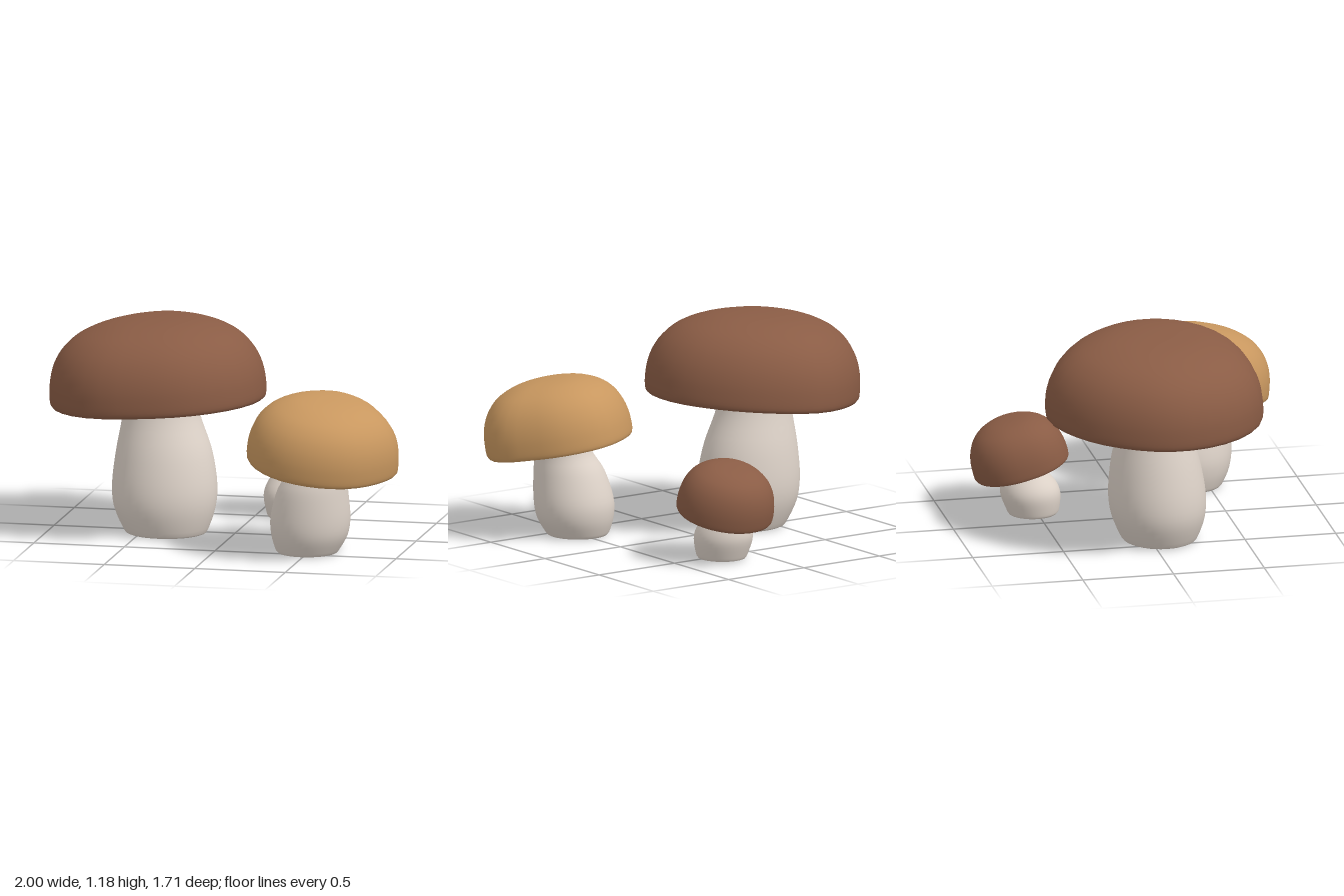
import * as THREE from 'three';

const SEG = 36;

// Skin a stack of closed rings, listed so that faces point outward
function loft(rings) {
  const pos = [], idx = [];
  rings.forEach(ring => ring.forEach(p => pos.push(p.x, p.y, p.z)));
  for (let i = 0; i < rings.length - 1; i++) {
    for (let j = 0; j < SEG; j++) {
      const k = (j + 1) % SEG;
      const a = i * SEG + j, b = i * SEG + k, c = a + SEG, d = b + SEG;
      idx.push(a, c, b, b, c, d);
    }
  }
  const g = new THREE.BufferGeometry();
  g.setAttribute('position', new THREE.Float32BufferAttribute(pos, 3));
  g.setIndex(idx);
  g.computeVertexNormals();
  return g;
}

function makeRing(radiusAt, y, cx = 0, cz = 0) {
  return Array.from({ length: SEG }, (_, j) => {
    const a = j / SEG * Math.PI * 2, r = radiusAt(j / SEG);
    return new THREE.Vector3(cx + Math.cos(a) * r, y, cz + Math.sin(a) * r);
  });
}

const spline = (pts, n) => new THREE.SplineCurve(pts.map(p => new THREE.Vector2(...p))).getPoints(n);

// Profiles as [share of the rim radius, share of the cap height]
const DOME = spline([[0.98, -0.01], [1, 0.03], [1.004, 0.14], [0.992, 0.31], [0.95, 0.49], [0.87, 0.66],
  [0.75, 0.8], [0.6, 0.896], [0.42, 0.963], [0.2, 0.995], [0, 1]], 30);
const GILLS = spline([[0, 0.16], [0.3, 0.15], [0.6, 0.1], [0.85, 0.05], [0.98, -0.01]], 12);

// Uneven rim: radii at every 30 degrees, from +x towards +z
function rimOutline(radii) {
  const curve = new THREE.CatmullRomCurve3(radii.map(r => new THREE.Vector3(r, 0, 0)), true, 'catmullrom', 0.5);
  return t => curve.getPoint(t).x;
}

function capPart(profile, rim, height, material, name) {
  const rings = profile.map(p => makeRing(t => p.x * rim(t), p.y * height));
  const mesh = new THREE.Mesh(loft(rings), material);
  mesh.name = name;
  return mesh;
}

// Stem sections: [y, centre x, centre z, radius], bottom to top
function makeStem(sections, depth, material) {
  const path = new THREE.CatmullRomCurve3(sections.map(s => new THREE.Vector3(s[1], s[0], s[2])), false, 'catmullrom', 0.5);
  const girth = new THREE.CatmullRomCurve3(sections.map(s => new THREE.Vector3(s[3], 0, 0)), false, 'catmullrom', 0.5);
  const section = (t, scale = 1) => {
    const c = path.getPoint(t), r = girth.getPoint(t).x * scale;
    const ring = makeRing(() => r, c.y, c.x, c.z);
    ring.forEach(p => { p.z = c.z + (p.z - c.z) * depth; });
    return ring;
  };
  const group = new THREE.Group();
  group.name = 'stem';
  const side = new THREE.Mesh(loft(Array.from({ length: 25 }, (_, i) => section(i / 24))), material);
  side.name = 'stemSide';
  const foot = new THREE.Mesh(loft([section(0, 0), section(0)]), material);
  foot.name = 'stemFoot';
  group.add(side, foot);
  return group;
}

export function createModel() {
  const material = (name, color) => {
    const m = new THREE.MeshStandardMaterial({ color });
    m.name = name;
    return m;
  };
  const brown = material('brown cap', 0x8a5c45);
  const tan = material('tan cap', 0xc8975f);
  const cream = material('cream flesh', 0xdfd4ca);

  const mushrooms = [
    {
      name: 'largeMushroom', color: brown, height: 0.45, centre: [-0.412, 0.725, 0.005], up: [-0.06, 1, 0],
      rim: [0.585, 0.607, 0.602, 0.586, 0.612, 0.603, 0.583, 0.553, 0.556, 0.58, 0.553, 0.553], depth: 0.92,
      stem: [[0, -0.37, 0.055, 0.205], [0.02, -0.37, 0.055, 0.228], [0.14, -0.378, 0.048, 0.275], [0.27, -0.38, 0.04, 0.285],
        [0.45, -0.385, 0.03, 0.26], [0.62, -0.4, 0.022, 0.215], [0.72, -0.405, 0.02, 0.2], [0.82, -0.41, 0.02, 0.205]],
    },
    {
      name: 'mediumMushroom', color: tan, height: 0.362, centre: [0.583, 0.5, 0.438], up: [0.12, 1, 0.134],
      rim: [0.412, 0.402, 0.41, 0.413, 0.418, 0.415, 0.412, 0.398, 0.394, 0.408, 0.392, 0.378], depth: 1.02,
      stem: [[0, 0.49, 0.41, 0.16], [0.02, 0.492, 0.41, 0.175], [0.1, 0.503, 0.413, 0.207], [0.2, 0.51, 0.418, 0.215],
        [0.35, 0.527, 0.437, 0.19], [0.46, 0.557, 0.447, 0.153], [0.58, 0.58, 0.455, 0.15]],
    },
    {
      name: 'smallMushroom', color: brown, height: 0.275, centre: [0.23, 0.26, -0.58], up: [0, 1, -0.28],
      rim: [0.26, 0.26, 0.261, 0.264, 0.275, 0.272, 0.26, 0.264, 0.266, 0.26, 0.256, 0.256], depth: 1.03,
      stem: [[0, 0.2, -0.52, 0.127], [0.02, 0.2, -0.52, 0.138], [0.1, 0.2, -0.532, 0.157], [0.16, 0.2, -0.542, 0.15],
        [0.23, 0.202, -0.56, 0.117], [0.28, 0.205, -0.575, 0.1], [0.34, 0.21, -0.588, 0.105]],
    },
  ];

  const model = new THREE.Group();
  model.name = 'mushrooms';
  for (const m of mushrooms) {
    // Tilted cap with its pale underside
    const rim = rimOutline(m.rim);
    const cap = new THREE.Group();
    cap.name = 'cap';
    cap.add(capPart(DOME, rim, m.height, m.color, 'capTop'));
    cap.add(capPart(GILLS, rim, m.height, cream, 'capUnderside'));
    cap.position.set(...m.centre);
    cap.quaternion.setFromUnitVectors(new THREE.Vector3(0, 1, 0), new THREE.Vector3(...m.up).normalize());

    const mushroom = new THREE.Group();
    mushroom.name = m.name;
    mushroom.add(cap, makeStem(m.stem, m.depth, cream));
    model.add(mushroom);
  }
  return model;
}
